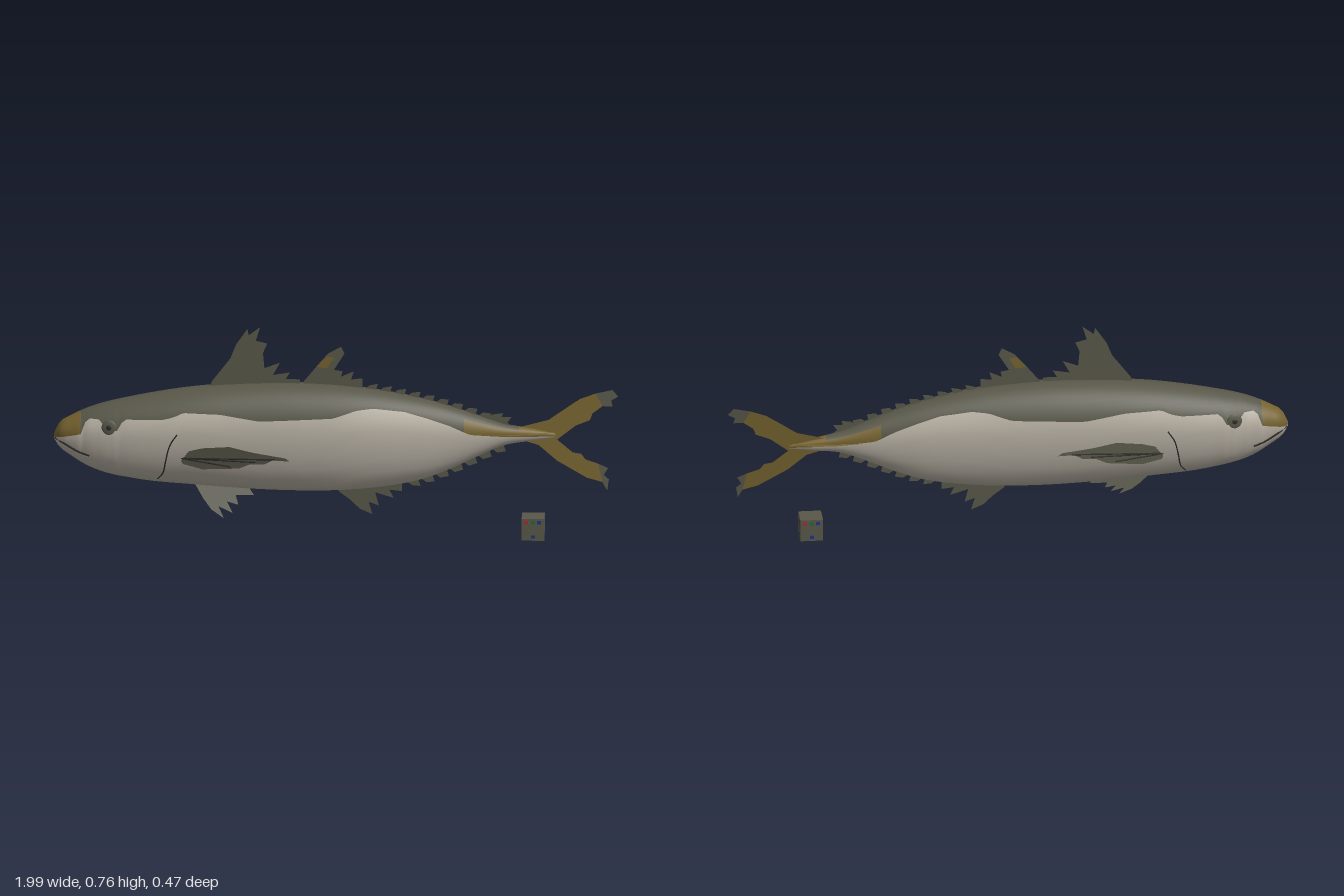
import * as THREE from 'three';

const paint = (name, hex) => {
  const m = new THREE.MeshStandardMaterial({ color: hex, side: THREE.DoubleSide });
  m.name = name;
  return m;
};

// Body stations: x, top y, bottom y, half width, centre z
const STATIONS = [
  [-0.987, 0.368, 0.352, 0.006, 0], [-0.97, 0.405, 0.325, 0.034, 0], [-0.93, 0.433, 0.293, 0.053, 0],
  [-0.85, 0.47, 0.245, 0.077, 0], [-0.7, 0.508, 0.208, 0.102, 0], [-0.5, 0.542, 0.188, 0.117, 0],
  [-0.3, 0.558, 0.174, 0.119, 0], [-0.1, 0.56, 0.168, 0.116, 0], [0.1, 0.545, 0.175, 0.105, 0],
  [0.3, 0.508, 0.207, 0.082, -0.006], [0.4, 0.48, 0.243, 0.066, -0.01], [0.5, 0.445, 0.29, 0.049, -0.016],
  [0.6, 0.41, 0.332, 0.032, -0.024], [0.7, 0.39, 0.347, 0.018, -0.031], [0.78, 0.372, 0.358, 0.004, -0.035],
];
// Lower edge of the dark back: x, y
const EDGE = [
  [-0.987, 0.36], [-0.89, 0.385], [-0.87, 0.44], [-0.82, 0.44], [-0.8, 0.405], [-0.76, 0.405], [-0.74, 0.445],
  [-0.6, 0.45], [-0.56, 0.46], [-0.53, 0.475], [-0.4, 0.472], [-0.26, 0.45], [0.0, 0.46], [0.08, 0.485],
  [0.14, 0.49], [0.25, 0.475], [0.33, 0.45], [0.41, 0.42], [0.48, 0.385], [0.6, 0.37], [0.78, 0.362],
];
const column = (t, i) => t.map((r) => r[i]);
const bodyCurve = new THREE.CubicInterpolant(column(STATIONS, 0), STATIONS.flatMap((r) => r.slice(1)), 4);
const edgeCurve = new THREE.LinearInterpolant(column(EDGE, 0), column(EDGE, 1), 1);

function section(x) {
  const [top, bottom, w, cz] = bodyCurve.evaluate(x);
  const cy = bottom + 0.6 * (top - bottom);
  return { top, bottom, w, cz, cy, up: top - cy, down: cy - bottom };
}
// Point on the flank at a given x and y, raised a little off the skin
function onSkin(x, y, side, lift = 0.002) {
  const s = section(x);
  const t = THREE.MathUtils.clamp((y - s.cy) / (y > s.cy ? s.up : s.down), -1, 1);
  return new THREE.Vector3(x, y, s.cz + side * (s.w * Math.sqrt(1 - t * t) + lift));
}

export function createModel() {
  const back = paint('dark olive grey', 0x585749);
  const belly = paint('pale grey', 0xb8b1a4);
  const ochre = paint('ochre', 0x75622f);
  const dark = paint('near black', 0x2b2a26);
  const red = paint('red', 0xb02530);
  const green = paint('green', 0x1f6a32);
  const blue = paint('blue', 0x24308a);

  const model = new THREE.Group();
  const add = (name, geo, mat, parent = model) => {
    const m = new THREE.Mesh(geo, mat);
    m.name = name;
    parent.add(m);
    return m;
  };

  // Body: rings split at the colour edge, half of each ring above it and half below
  const N = 110, R = 32, HALF = R / 2;
  const pos = [], faces = [[], [], []];
  for (let i = 0; i <= N; i++) {
    const x = -0.987 + (1.767 * i) / N;
    const s = section(x);
    const d = edgeCurve.evaluate(x)[0] - s.cy;
    const a0 = Math.asin(THREE.MathUtils.clamp(d / (d > 0 ? s.up : s.down), -0.95, 0.95));
    for (let j = 0; j < R; j++) {
      const a = j < HALF ? a0 + ((Math.PI - 2 * a0) * j) / HALF
        : Math.PI - a0 + ((Math.PI + 2 * a0) * (j - HALF)) / HALF;
      const sy = Math.sin(a);
      pos.push(x, s.cy + (sy > 0 ? s.up : s.down) * sy, s.cz + s.w * Math.cos(a));
    }
    if (i === N) break;
    for (let j = 0; j < R; j++) {
      const k = (j + 1) % R, p = i * R, q = p + R;
      const nearEdge = Math.min(j, HALF - 1 - j) < 4;
      const snout = x < -0.9, tailRoot = x > 0.64 || (x > 0.45 && nearEdge);
      const slot = j >= HALF ? 1 : snout || tailRoot ? 2 : 0;
      faces[slot].push(p + j, q + j, q + k, p + j, q + k, p + k);
    }
  }
  const bodyGeo = new THREE.BufferGeometry();
  bodyGeo.setAttribute('position', new THREE.Float32BufferAttribute(pos, 3));
  bodyGeo.setIndex(faces.flat());
  let start = 0;
  faces.forEach((f, slot) => { bodyGeo.addGroup(start, f.length, slot); start += f.length; });
  bodyGeo.computeVertexNormals();
  add('body', bodyGeo, [back, belly, ochre]);

  // Thin fins: an outline in x and y, placed in z by a rule
  const fin = (name, pts, zRule, mat) => {
    const geo = new THREE.ShapeGeometry(new THREE.Shape(pts.map(([x, y]) => new THREE.Vector2(x, y))));
    const p = geo.attributes.position;
    for (let i = 0; i < p.count; i++) p.setZ(i, zRule(p.getX(i), p.getY(i)));
    geo.computeVertexNormals();
    return add(name, geo, mat);
  };

  // Dorsal and anal fins
  fin('firstDorsalFin', [[-0.44, 0.54], [-0.43, 0.565], [-0.365, 0.65], [-0.345, 0.7], [-0.305, 0.758], [-0.3, 0.735],
    [-0.26, 0.765], [-0.275, 0.715], [-0.235, 0.705], [-0.25, 0.67], [-0.245, 0.615], [-0.19, 0.635], [-0.215, 0.59],
    [-0.155, 0.6], [-0.17, 0.575], [-0.12, 0.575], [-0.12, 0.55]], () => 0.004, back);
  fin('secondDorsalFin', [[-0.12, 0.55], [-0.055, 0.63], [-0.02, 0.67], [0.025, 0.695], [0.037, 0.67], [0.0, 0.61],
    [0.03, 0.605], [0.025, 0.585], [0.07, 0.605], [0.06, 0.575], [0.1, 0.58], [0.1, 0.535]], () => 0.002, back);
  for (const z of [0.0045, -0.0005])
    fin('dorsalPatch', [[-0.06, 0.622], [-0.025, 0.66], [0.0, 0.655], [-0.025, 0.615]], () => z, ochre);
  fin('analFin', [[0, 0.19], [0.02, 0.16], [0.06, 0.13], [0.09, 0.1], [0.135, 0.08], [0.122, 0.125], [0.158, 0.112],
    [0.145, 0.16], [0.21, 0.14], [0.195, 0.17], [0.24, 0.165], [0.24, 0.2]], () => -0.006, back);

  // Finlets along the tail stalk
  for (let i = 0; i < 10; i++) {
    const x = 0.1 + i * 0.05, s = section(x), e = section(x + 0.05);
    fin('upperFinlet', [[x, s.top - 0.01], [x + 0.025, s.top + 0.008], [x + 0.055, e.top + 0.022],
      [x + 0.045, e.top - 0.01]], () => s.cz, back);
    if (i > 2) fin('lowerFinlet', [[x, s.bottom + 0.01], [x + 0.025, s.bottom - 0.008], [x + 0.055, e.bottom - 0.022],
      [x + 0.045, e.bottom + 0.01]], () => s.cz, back);
  }
  fin('stalkFinlet', [[0.52, 0.42], [0.56, 0.445], [0.595, 0.45], [0.59, 0.435], [0.625, 0.435], [0.61, 0.415],
    [0.63, 0.4], [0.58, 0.4]], () => -0.02, back);

  // Tail fin with dark tips
  const tailZ = (x, y) => -0.036 - (y - 0.36) * 0.1;
  fin('tailFin', [[0.62, 0.385], [0.755, 0.42], [0.82, 0.465], [0.865, 0.495], [0.92, 0.515], [0.945, 0.47],
    [0.91, 0.445], [0.9, 0.42], [0.85, 0.4], [0.785, 0.35], [0.84, 0.305], [0.87, 0.3], [0.885, 0.28], [0.93, 0.265],
    [0.945, 0.2], [0.89, 0.215], [0.785, 0.275], [0.72, 0.33], [0.62, 0.36]], tailZ, ochre);
  fin('upperTailTip', [[0.92, 0.515], [0.98, 0.528], [1, 0.505], [0.975, 0.49], [0.98, 0.47], [0.945, 0.47]], tailZ, back);
  fin('lowerTailTip', [[0.93, 0.265], [0.965, 0.25], [0.95, 0.225], [0.968, 0.21], [0.962, 0.17], [0.945, 0.2]], tailZ, back);

  // Flat keel on both sides of the tail stalk
  const keel = new THREE.ShapeGeometry(new THREE.Shape([[0.44, -0.05], [0.62, -0.072], [0.7, -0.07], [0.78, -0.035],
    [0.7, 0.005], [0.62, 0.014], [0.44, 0.02]].map(([x, z]) => new THREE.Vector2(x, -z))));
  keel.rotateX(-Math.PI / 2);
  add('tailKeel', keel, ochre).position.y = 0.376;

  for (const side of [1, -1]) {
    const label = side > 0 ? 'left' : 'right';

    // Pectoral fin sweeping out and back, with a few rays
    const lift = side > 0 ? 0 : 0.1;
    const rise = (x) => lift * Math.max(0, x + 0.52);
    const sweep = (x) => side * (0.1 + (x + 0.54) * 0.35);
    fin(label + 'PectoralFin', [[-0.55, 0.325], [-0.46, 0.355], [-0.365, 0.37], [-0.28, 0.358], [-0.165, 0.35],
      [-0.15, 0.34], [-0.21, 0.338], [-0.24, 0.32], [-0.29, 0.315], [-0.33, 0.295], [-0.39, 0.287], [-0.46, 0.278],
      [-0.53, 0.29]].map(([x, y]) => [x, y + rise(x)]), sweep, back);
    for (const [x, y] of [[-0.2, 0.341], [-0.27, 0.324], [-0.36, 0.298]]) {
      const ray = new THREE.LineCurve3(new THREE.Vector3(-0.54, 0.31, sweep(-0.54)),
        new THREE.Vector3(x, y + rise(x), sweep(x)));
      add(label + 'PectoralRay', new THREE.TubeGeometry(ray, 1, 0.0025, 5), dark);
    }

    // Pelvic fin, longer and wider spread on the left
    const depth = side > 0 ? 1 : 0.55;
    fin(label + 'PelvicFin', [[-0.49, 0.195], [-0.46, 0.15], [-0.43, 0.115], [-0.385, 0.088], [-0.405, 0.125],
      [-0.355, 0.105], [-0.375, 0.14], [-0.335, 0.13], [-0.345, 0.16], [-0.28, 0.16], [-0.3, 0.185]]
      .map(([x, y]) => [x, 0.19 + (y - 0.19) * depth]),
    (x, y) => side * (0.025 + (0.185 - y) * (side > 0 ? 0.68 : 0.3)), back);

    // Gill slit, mouth and lower jaw lines
    const line = (name, pts, r) => add(label + name, new THREE.TubeGeometry(
      new THREE.CatmullRomCurve3(pts.map(([x, y]) => onSkin(x, y, side, 0))), 16, r, 5), dark);
    line('GillSlit', [[-0.55, 0.4], [-0.575, 0.36], [-0.59, 0.3], [-0.6, 0.25], [-0.62, 0.22]], 0.0025);
    line('MouthLine', [[-0.982, 0.358], [-0.95, 0.345], [-0.9, 0.318], [-0.86, 0.305]], 0.0035);

    // Eye
    const eye = new THREE.Group();
    eye.name = label + 'Eye';
    eye.position.copy(onSkin(-0.79, 0.415, side, -0.001));
    eye.rotation.set(side * -0.1, side * -0.15, 0);
    add('iris', new THREE.SphereGeometry(0.027, 18, 10), back, eye).scale.z = 0.22;
    add('pupil', new THREE.SphereGeometry(0.014, 14, 8), dark, eye).scale.set(1, 1, 0.55);
    model.add(eye);
  }

  // Small separate marker cube with coloured squares on its faces
  const cube = new THREE.Group();
  cube.name = 'markerCube';
  cube.position.set(0.702, 0.04, 0);
  add('cubeBlock', new THREE.BoxGeometry(0.08, 0.08, 0.08), back, cube);
  const marks = [[red, 0.024, 0.026], [green, 0, 0.026], [blue, -0.022, 0.026], [blue, 0, -0.026]];
  for (const turn of [0, 1, 2, 3]) {
    const face = new THREE.Group();
    face.name = 'cubeFace';
    face.rotation.y = (turn * Math.PI) / 2;
    for (const [mat, z, y] of marks)
      add('cubeMark', new THREE.BoxGeometry(0.001, 0.012, 0.014), mat, face).position.set(0.0402, y, z);
    cube.add(face);
  }
  model.add(cube);
  return model;
}
